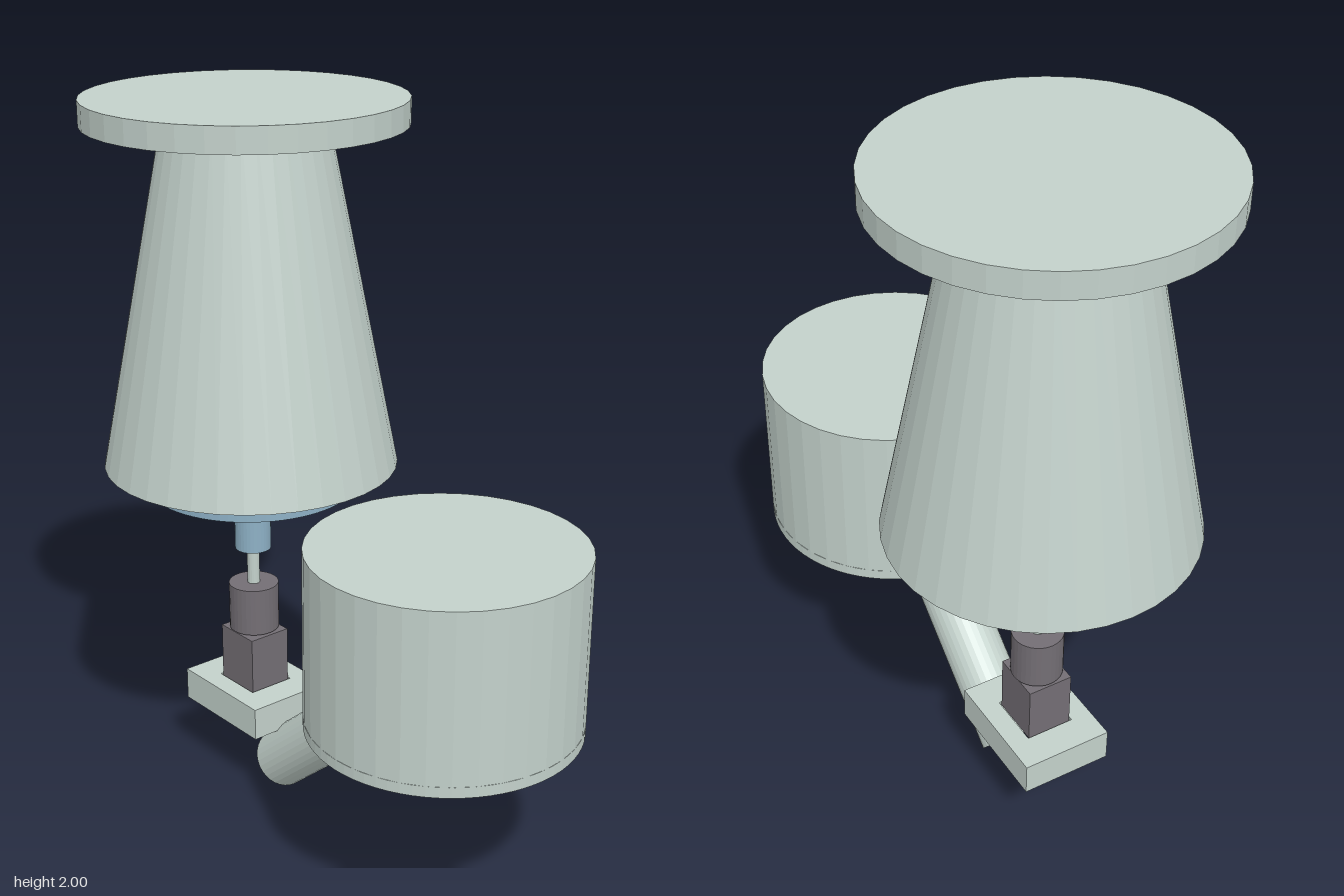
import * as THREE from 'three';

const material = (name, color) => {
  const m = new THREE.MeshStandardMaterial({ color, flatShading: true });
  m.name = name;
  return m;
};

// Closed solid of revolution from [radius, height] pairs
const turned = (points, sides = 36) =>
  new THREE.LatheGeometry(points.map(([r, y]) => new THREE.Vector2(r, y)), sides);

// Plate lying flat, with its top at y = 0; shape x,y become x,z
const flatPlate = (shape, thickness) =>
  new THREE.ExtrudeGeometry(shape, { depth: thickness, bevelEnabled: false, curveSegments: 36 })
    .rotateX(Math.PI / 2);

const circle = (Type, x, y, r) => new Type().absarc(x, y, r, 0, Math.PI * 2, false);

const rectangle = (Type, w, d) => new Type([
  [-w, -d], [w, -d], [w, d], [-w, d],
].map(([x, y]) => new THREE.Vector2(x / 2, y / 2)));

export function createModel() {
  const model = new THREE.Group();
  model.name = 'dispenser';
  const pale = material('pale grey green', 0xc3d1cb);
  const blue = material('soft blue', 0x8db0c5);
  const dark = material('dark grey', 0x736e74);

  const add = (name, geometry, mat, x, y, z = 0) => {
    const mesh = new THREE.Mesh(geometry, mat);
    mesh.name = name;
    mesh.position.set(x, y, z);
    model.add(mesh);
    return mesh;
  };

  const axis = -0.372; // vertical axis of the hopper and drive
  const bowlX = 0.44;

  // Lid with a recess underneath
  add('lid', turned([
    [0, 0.05], [0.41, 0.05], [0.41, 0], [0.438, 0], [0.438, 0.07], [0, 0.07],
  ]), pale, axis, 1.93);

  // Hollow tapered hopper
  add('hopper', turned([
    [0.393, 0], [0.413, 0], [0.215, 1], [0.195, 1], [0.393, 0],
  ]), pale, axis, 0.98);

  // Dosing disc with a ring of eight holes and a small centre hole
  const disc = circle(THREE.Shape, 0, 0, 0.295);
  disc.holes.push(circle(THREE.Path, 0, 0, 0.01));
  for (let i = 0; i < 8; i++) {
    const a = THREE.MathUtils.degToRad(9 + i * 45);
    disc.holes.push(circle(THREE.Path, Math.cos(a) * 0.195, Math.sin(a) * 0.195, 0.043));
  }
  add('dosingDisc', flatPlate(disc, 0.1), blue, axis, 1.01);

  // Drive: coupling, shaft, motor and gearbox
  add('coupling', new THREE.CylinderGeometry(0.052, 0.052, 0.115, 32), blue, axis, 0.768);
  add('shaft', new THREE.CylinderGeometry(0.018, 0.018, 0.15, 20), pale, axis, 0.665);
  add('motor', new THREE.CylinderGeometry(0.072, 0.072, 0.14, 32), dark, axis, 0.53);
  add('gearbox', new THREE.BoxGeometry(0.145, 0.17, 0.13), dark, axis, 0.368);

  // Motor bracket with a square opening
  const bracket = rectangle(THREE.Shape, 0.335, 0.26);
  bracket.holes.push(rectangle(THREE.Path, 0.155, 0.14));
  add('bracket', flatPlate(bracket, 0.095), pale, axis, 0.29);

  // Storage drum: closed shell plus a floor with an outlet
  add('drum', turned([
    [0.348, 0], [0.368, 0], [0.368, 0.47], [0, 0.47], [0, 0.45], [0.348, 0.45], [0.348, 0],
  ]), pale, bowlX, 0.51);
  const floor = circle(THREE.Shape, 0, 0, 0.368);
  floor.holes.push(circle(THREE.Path, 0.03, -0.195, 0.05));
  add('drumFloor', flatPlate(floor, 0.03), pale, bowlX, 0.51);

  // Open sloping chute
  const chute = add('chute', turned([
    [0.074, -0.268], [0.086, -0.268], [0.086, 0.268], [0.074, 0.268], [0.074, -0.268],
  ], 32), pale, -0.04, 0.2425);
  chute.rotation.z = THREE.MathUtils.degToRad(-50);

  return model;
}
